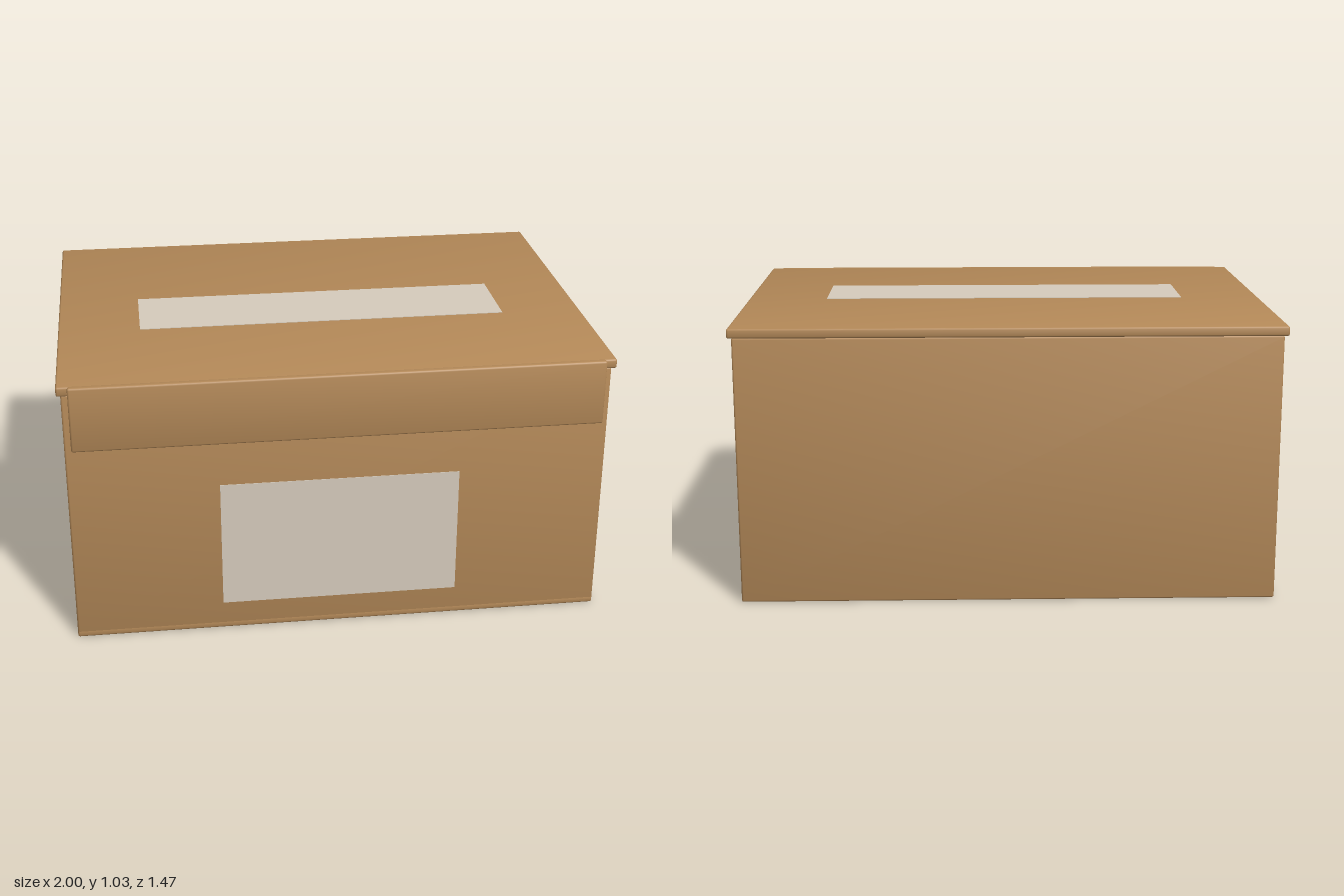
import * as THREE from 'three';
import { RoundedBoxGeometry } from 'three/addons/geometries/RoundedBoxGeometry.js';

export function createModel() {
  const group = new THREE.Group();
  const cardboard = new THREE.MeshStandardMaterial({ color: 0xb48958 });
  cardboard.name = 'cardboard';
  const paper = new THREE.MeshStandardMaterial({ color: 0xd6ccbd });
  paper.name = 'labelPaper';

  // Bevelled board between two corners, its shading softened towards the edges
  function board(name, [x0, y0, z0], [x1, y1, z1]) {
    const geo = new RoundedBoxGeometry(x1 - x0, y1 - y0, z1 - z0, 1, 0.007);
    const pos = geo.attributes.position, nor = geo.attributes.normal;
    const n = new THREE.Vector3();
    for (let i = 0; i < pos.count; i++) {
      n.fromBufferAttribute(nor, i);
      n.x += 0.18 * Math.sign(pos.getX(i));
      n.y += 0.18 * Math.sign(pos.getY(i));
      n.z += 0.18 * Math.sign(pos.getZ(i));
      n.normalize();
      nor.setXYZ(i, n.x, n.y, n.z);
    }
    const mesh = new THREE.Mesh(geo, cardboard);
    mesh.name = name;
    mesh.position.set((x0 + x1) / 2, (y0 + y1) / 2, (z0 + z1) / 2);
    group.add(mesh);
  }

  // Hollow body: floor and four walls
  board('floor', [-0.985, 0, -0.72], [0.985, 0.03, 0.705]);
  board('frontWall', [-0.985, 0, 0.675], [0.985, 0.99, 0.705]);
  board('backWall', [-0.985, 0, -0.72], [0.985, 0.99, -0.69]);
  board('leftWall', [0.955, 0.03, -0.69], [0.985, 0.99, 0.675]);
  board('rightWall', [-0.985, 0.03, -0.69], [-0.955, 0.99, 0.675]);

  // Overhanging lid with its front flap
  board('lid', [-1, 0.99, -0.733], [1, 1.025, 0.717]);
  board('lidFlap', [-0.96, 0.78, 0.704], [0.96, 1.025, 0.733]);

  // Thin paper labels on the front and the lid
  function label(name, w, h, d, x, y, z) {
    const mesh = new THREE.Mesh(new THREE.BoxGeometry(w, h, d), paper);
    mesh.name = name;
    mesh.position.set(x, y, z);
    group.add(mesh);
  }
  label('frontLabel', 0.88, 0.495, 0.004, 0, 0.357, 0.705);
  label('lidLabel', 1.39, 0.004, 0.315, 0, 1.025, 0.058);

  return group;
}
